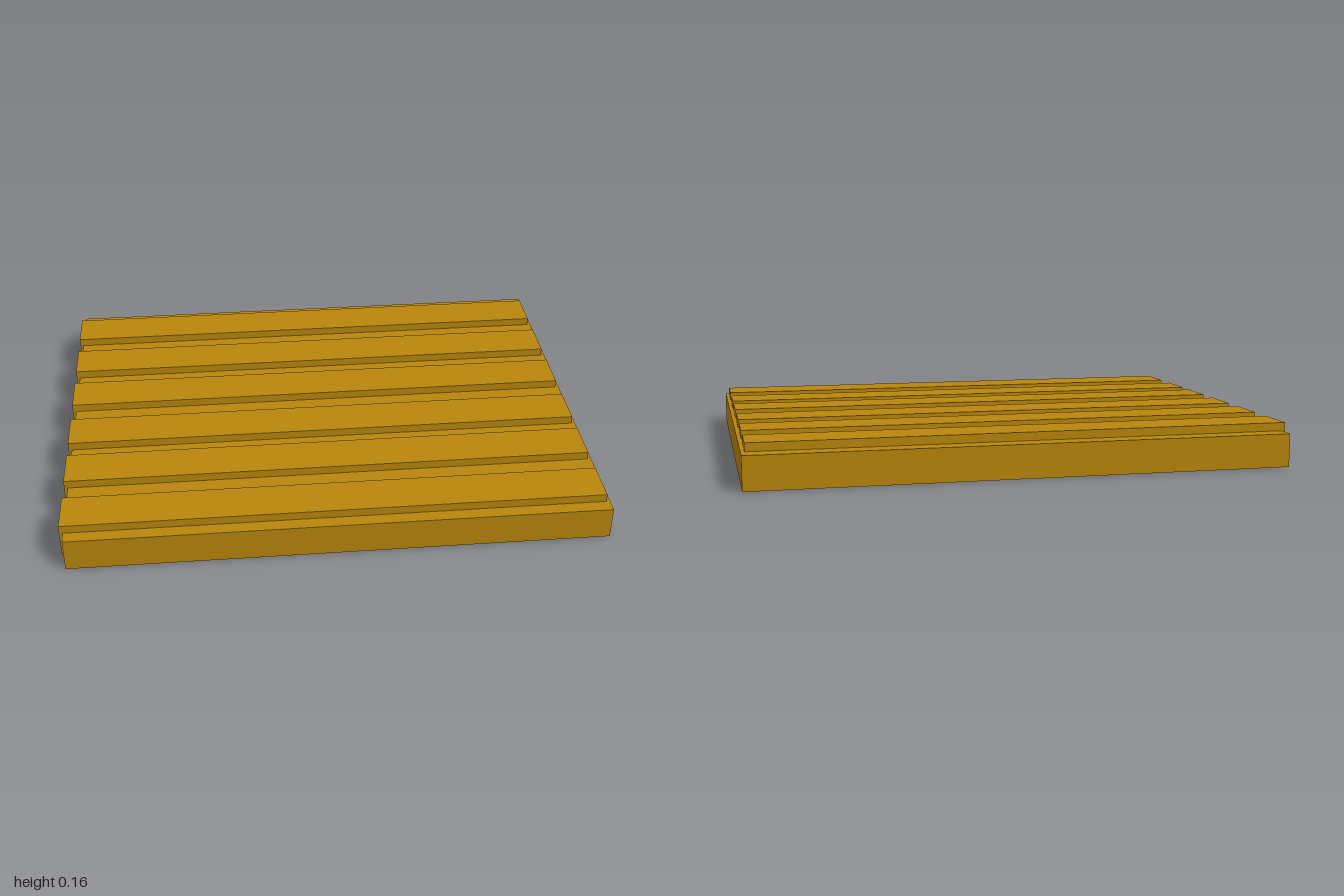
import * as THREE from 'three';

export function createModel() {
  const group = new THREE.Group();
  const wood = new THREE.MeshStandardMaterial({ color: 0xb8860b });

  // Adds a box spanning the given ranges on each axis
  const addBox = (name, [x0, x1], [y0, y1], [z0, z1]) => {
    const mesh = new THREE.Mesh(new THREE.BoxGeometry(x1 - x0, y1 - y0, z1 - z0), wood);
    mesh.position.set((x0 + x1) / 2, (y0 + y1) / 2, (z0 + z1) / 2);
    mesh.name = name;
    group.add(mesh);
  };

  // Solid base slab
  addBox('base', [-0.987, 1], [0, 0.124], [-0.79, 0.79]);

  // Six unevenly spaced slats sunk into the slab, shifted slightly towards -x
  const slatWidth = 0.166;
  [-0.637, -0.373, -0.119, 0.148, 0.392, 0.657].forEach((z, i) => {
    addBox(`slat${i + 1}`, [-1, 0.986], [0.031, 0.155], [z - slatWidth / 2, z + slatWidth / 2]);
  });

  return group;
}
